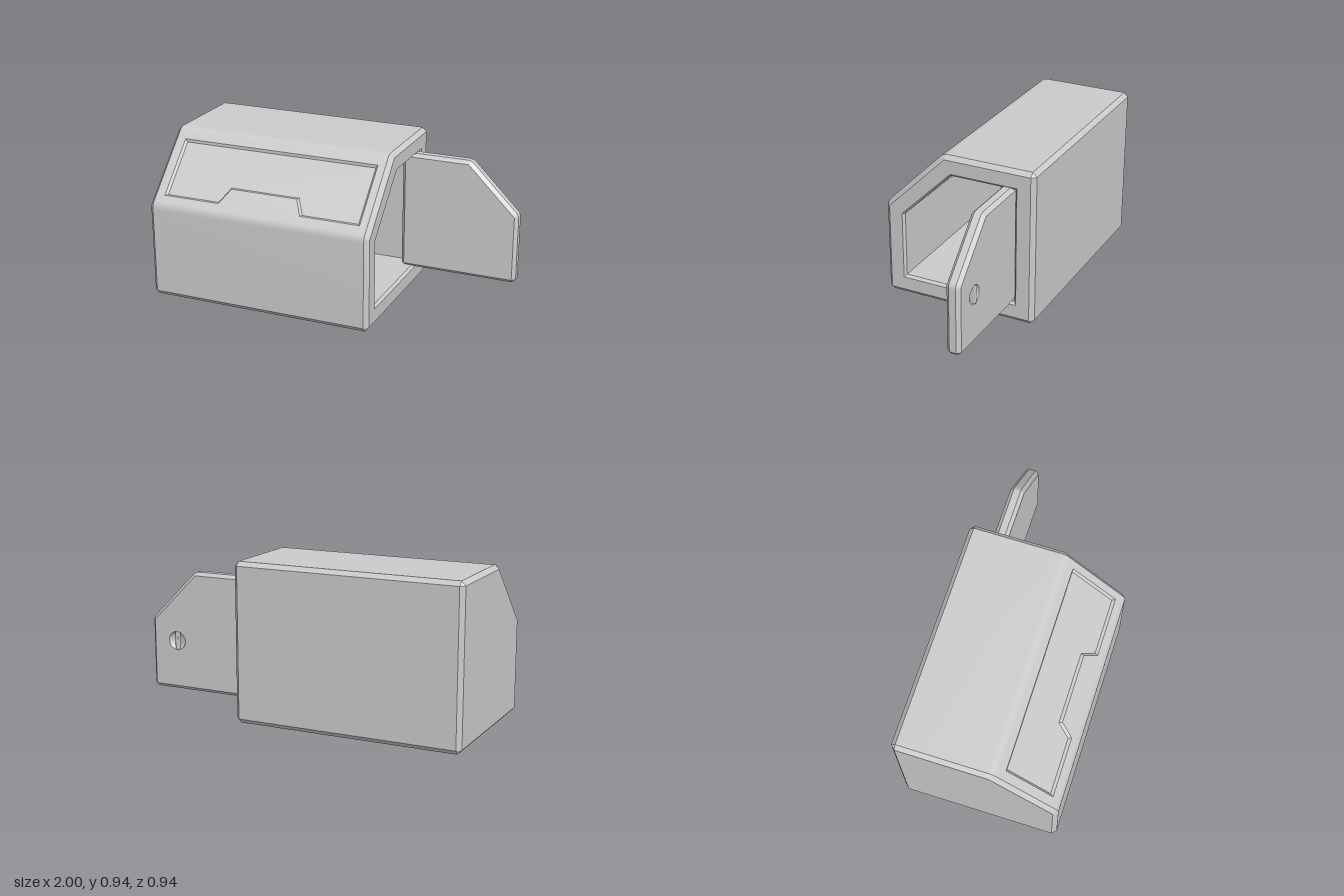
import * as THREE from 'three';
import { mergeGeometries, toCreasedNormals } from 'three/addons/utils/BufferGeometryUtils.js';
import { RoundedBoxGeometry } from 'three/addons/geometries/RoundedBoxGeometry.js';

const material = new THREE.MeshStandardMaterial({ color: 0xcccccc });
const V = (x, y) => new THREE.Vector2(x, y);

const geometryFrom = (positions) =>
  new THREE.BufferGeometry().setAttribute('position', new THREE.Float32BufferAttribute(positions, 3));

// Flat face at depth z, optionally with a hole, facing +z or (flipped) -z
function face(points, z, flip = false, hole = null) {
  const shape = new THREE.Shape(points);
  if (hole) shape.holes.push(new THREE.Path(hole));
  const p = new THREE.ShapeGeometry(shape).toNonIndexed().attributes.position;
  const out = [];
  for (let i = 0; i < p.count; i += 3) {
    for (const k of flip ? [0, 2, 1] : [0, 1, 2]) out.push(p.getX(i + k), p.getY(i + k), z);
  }
  return geometryFrom(out);
}

// Skin between rings { points, z }; skip(ring, side) leaves a quad out
function loft(rings, skip = () => false) {
  const out = [];
  const tri = (...c) => {
    const [a, b, d] = c;
    const area = b.clone().sub(a).cross(d.clone().sub(a)).length();
    if (area > 1e-9) c.forEach((v) => out.push(v.x, v.y, v.z));
  };
  for (let k = 0; k + 1 < rings.length; k++) {
    const n = rings[k].points.length;
    for (let i = 0; i < n; i++) {
      if (skip(k, i)) continue;
      const at = (r, j) => new THREE.Vector3(r.points[j % n].x, r.points[j % n].y, r.z);
      const a = at(rings[k], i), b = at(rings[k], i + 1);
      const c = at(rings[k + 1], i + 1), d = at(rings[k + 1], i);
      tri(a, b, c);
      tri(a, c, d);
    }
  }
  return geometryFrom(out);
}

// Each corner is [start, end] for a chamfer or [start, control, end] for a rounding
const ARC = 4;
const trimmed = (corners) => corners.flatMap((c) =>
  c.length === 2 ? c : new THREE.QuadraticBezierCurve(...c).getPoints(ARC));
// Sharp polygon with repeated corners, to pair with a trimmed one
const matched = (points, corners) => points.flatMap((p, i) =>
  Array(corners[i].length === 2 ? 2 : ARC + 1).fill(p));

function addMesh(parent, name, geometry, mat = material) {
  const mesh = new THREE.Mesh(geometry, mat);
  mesh.name = name;
  parent.add(mesh);
  return mesh;
}

// Hollow housing, lofted along its length, open at the +x end
function housingGeometry() {
  const corners = [
    [V(-0.47, 0.027), V(-0.445, 0)],
    [V(0.445, 0), V(0.47, 0.027)],
    [V(0.47, 0.915), V(0.445, 0.94)],
    [V(-0.07, 0.94), V(-0.10, 0.94), V(-0.12, 0.92)],
    [V(-0.45, 0.59), V(-0.47, 0.57), V(-0.47, 0.54)],
  ];
  const pentagon = (u, y0, y1, uTop, yFront) =>
    [V(-u, y0), V(u, y0), V(u, y1), V(-uTop, y1), V(-u, yFront)];
  const end = pentagon(0.445, 0.027, 0.915, 0.083, 0.555);
  const lip = pentagon(0.363, 0.107, 0.835, 0.046, 0.523);
  const cavity = pentagon(0.35, 0.122, 0.82, 0.05, 0.52);
  const outer = trimmed(corners);
  const m = (points) => matched(points, corners);
  const x0 = -0.975, x1 = 0.345, inside = -0.88;
  const slopeSide = 6 + ARC;
  const shell = [
    face(end, -1, true),
    loft([
      { points: m(end), z: -1 },
      { points: outer, z: x0 },
      { points: outer, z: x1 },
      { points: m(end), z: 0.37 },
      { points: m(lip), z: 0.37 },
      { points: m(cavity), z: 0.355 },
      { points: m(cavity), z: inside },
    ], (k, i) => k === 1 && i === slopeSide),
    face(cavity, inside),
  ].map((g) => g.rotateY(Math.PI / 2));

  // Sloped front with a shallow recessed panel and a notch tab
  const panel = (d) => [
    V(-0.92 + d, 0.07 + d), V(-0.57 - d * 0.6, 0.07 + d), V(-0.52 - d * 0.6, 0.17 + d),
    V(-0.11 + d * 0.6, 0.17 + d), V(-0.06 + d * 0.6, 0.07 + d), V(0.30 - d, 0.07 + d),
    V(0.30 - d, 0.445 - d), V(-0.92 + d, 0.445 - d),
  ];
  const s0 = 0.02 * Math.SQRT2, s1 = 0.35 * Math.SQRT2, depth = 0.013;
  const slope = [
    face([V(x0, s0), V(x1, s0), V(x1, s1), V(x0, s1)], 0, false, panel(0)),
    loft([{ points: panel(0), z: 0 }, { points: panel(depth), z: -depth }]),
    face(panel(depth), -depth),
  ].map((g) => g.rotateX(-Math.PI / 4).translate(0, 0.57, 0.47));

  return toCreasedNormals(mergeGeometries([...shell, ...slope]), Math.PI / 9);
}

const KNOB = { x: 0.83, y: 0.41, r: 0.055 };
const DOOR_BACK = -0.343;

// Door leaf with chamfered rims and a round hole in its back face
function doorGeometry() {
  const corners = [
    [V(0.29, 0.135), V(0.31, 0.115)],
    [V(0.98, 0.115), V(1, 0.135)],
    [V(1, 0.51), V(1, 0.535), V(0.985, 0.55)],
    [V(0.72, 0.815), V(0.705, 0.83), V(0.68, 0.83)],
    [V(0.31, 0.83), V(0.29, 0.81)],
  ];
  const flat = [V(0.31, 0.135), V(0.98, 0.135), V(0.98, 0.525), V(0.695, 0.81), V(0.31, 0.81)];
  const rim = trimmed(corners);
  const inner = matched(flat, corners);
  const front = -0.26, bevel = 0.021;
  const hole = Array.from({ length: 32 }, (_, i) => {
    const a = (i / 32) * Math.PI * 2;
    return V(KNOB.x + KNOB.r * Math.sin(a), KNOB.y + KNOB.r * Math.cos(a));
  });
  return toCreasedNormals(mergeGeometries([
    face(flat, DOOR_BACK, true, hole),
    loft([
      { points: inner, z: DOOR_BACK },
      { points: rim, z: DOOR_BACK + bevel },
      { points: rim, z: front - bevel },
      { points: inner, z: front },
    ]),
    face(flat, front),
  ]), Math.PI / 9);
}

export function createModel() {
  const model = new THREE.Group();
  model.name = 'cabinet';
  addMesh(model, 'housing', housingGeometry());

  // Door swung fully open, with a dished finger pull
  const door = new THREE.Group();
  door.name = 'door';
  model.add(door);
  addMesh(door, 'doorLeaf', doorGeometry());

  const dishProfile = Array.from({ length: 9 }, (_, i) => {
    const a = (i / 8) * Math.PI / 2;
    return V(KNOB.r * Math.sin(a), 0.03 * Math.cos(a));
  });
  const dishMaterial = material.clone();
  dishMaterial.side = THREE.DoubleSide;
  const dish = addMesh(door, 'handleDish',
    new THREE.LatheGeometry(dishProfile, 32).rotateX(Math.PI / 2), dishMaterial);
  dish.position.set(KNOB.x, KNOB.y, DOOR_BACK);

  const grip = addMesh(door, 'handleGrip', new RoundedBoxGeometry(0.018, 0.108, 0.036, 2, 0.006));
  grip.position.set(KNOB.x, KNOB.y, DOOR_BACK + 0.009);
  return model;
}
